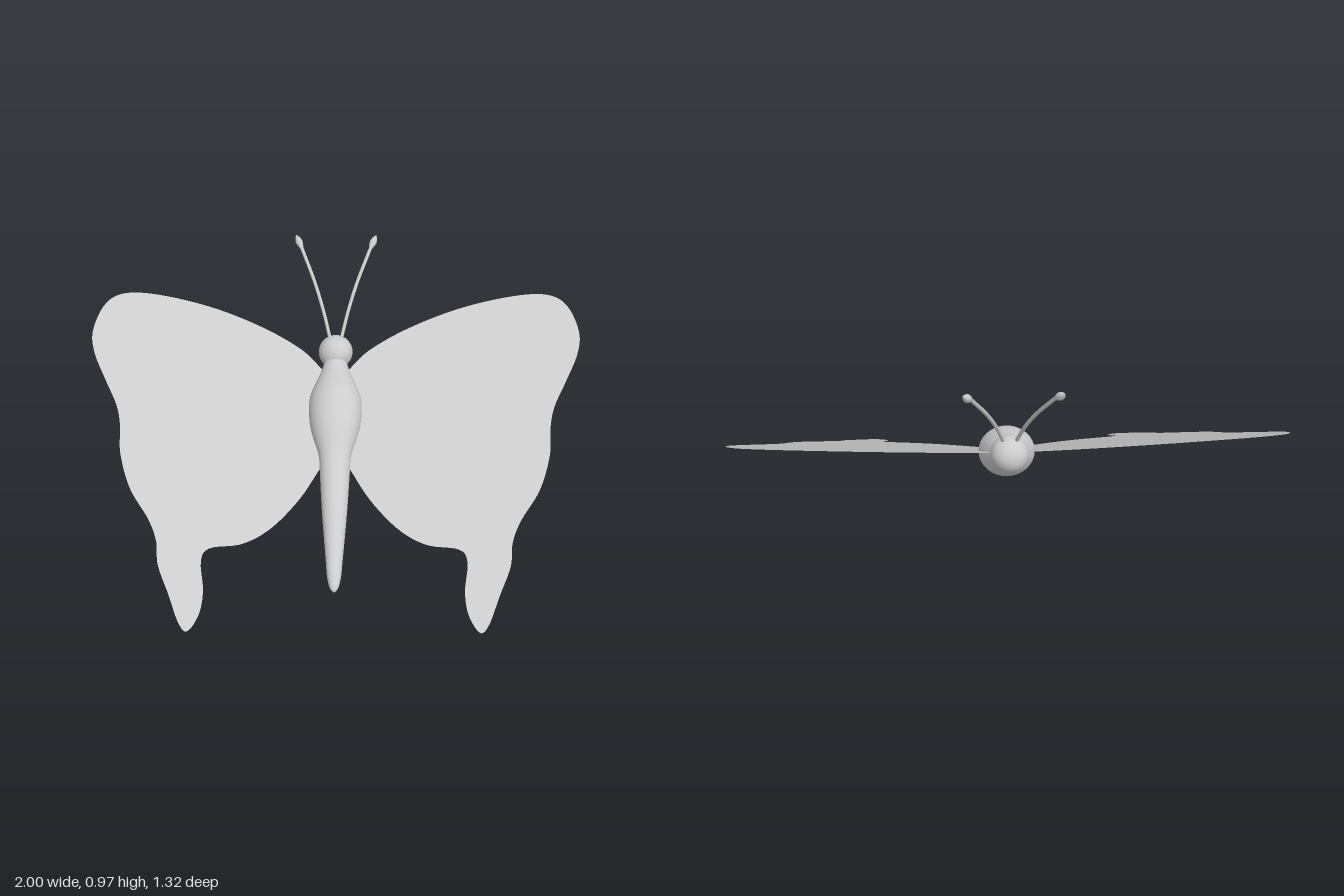
import * as THREE from 'three';

const SLOPE = 0.575; // rise of wings and body from tail to head

export function createModel() {
  const model = new THREE.Group();
  const grey = new THREE.MeshStandardMaterial({ color: 0xcccccc, side: THREE.DoubleSide });
  grey.name = 'pale grey';

  const add = (parent, name, geometry) => {
    const mesh = new THREE.Mesh(geometry, grey);
    mesh.name = name;
    parent.add(mesh);
    return mesh;
  };

  // Body: a lathe along the tilted axis, plus a round head
  const body = new THREE.Group();
  body.name = 'body';
  body.position.y = 0.35;
  body.rotation.x = Math.atan(SLOPE) - Math.PI / 2;
  model.add(body);
  const along = (z) => -z * Math.hypot(1, SLOPE);
  const profile = [
    [0, 0.505], [0.016, 0.49], [0.027, 0.45], [0.032, 0.4], [0.042, 0.3], [0.051, 0.2], [0.058, 0.1],
    [0.064, 0.02], [0.085, -0.04], [0.1, -0.09], [0.107, -0.15], [0.104, -0.2], [0.085, -0.25],
    [0.063, -0.295], [0.054, -0.32], [0.04, -0.36],
  ].map(([r, z]) => new THREE.Vector2(r, along(z)));
  const smooth = new THREE.SplineCurve(profile).getPoints(60);
  smooth.forEach((p) => { p.x = Math.max(p.x, 0); });
  add(body, 'thoraxAndAbdomen', new THREE.LatheGeometry(smooth, 32)).scale.z = 0.9;
  const head = add(body, 'head', new THREE.SphereGeometry(0.07, 32, 20));
  head.position.y = along(-0.388);

  // Wing outline as [x, z], from the front root around the tip and tail to the rear root
  const outline = [
    [0.06, -0.32], [0.14, -0.39], [0.3, -0.47], [0.51, -0.54], [0.73, -0.58], [0.88, -0.58], [0.96, -0.53],
    [1, -0.42], [0.985, -0.33], [0.93, -0.225], [0.877, -0.13], [0.855, -0.05], [0.845, 0.05],
    [0.797, 0.176], [0.717, 0.283], [0.68, 0.36], [0.668, 0.44], [0.62, 0.54], [0.578, 0.63],
    [0.543, 0.658], [0.503, 0.6], [0.492, 0.52], [0.506, 0.42], [0.475, 0.374], [0.353, 0.353],
    [0.246, 0.294], [0.14, 0.187], [0.064, 0.075],
  ];

  for (const side of [1, -1]) {
    const label = side > 0 ? 'left' : 'right';

    // Wing: a thin sheet on the tilted plane, lifted a little towards the tip
    const shape = new THREE.Shape();
    shape.moveTo(0, 0.27);
    shape.lineTo(side * outline[0][0], -outline[0][1]);
    shape.splineThru(outline.slice(1).map(([x, z]) => new THREE.Vector2(side * x, -z)));
    shape.lineTo(0, 0);
    const wing = new THREE.ShapeGeometry(shape, 5);
    const pos = wing.attributes.position;
    for (let i = 0; i < pos.count; i++) {
      const x = pos.getX(i), z = -pos.getY(i);
      pos.setXYZ(i, x, 0.348 - SLOPE * z + 0.065 * Math.abs(x), z);
    }
    wing.computeVertexNormals();
    add(model, label + 'Wing', wing);

    // Antenna: a bowed stalk ending in a pointed club
    const antenna = new THREE.Group();
    antenna.name = label + 'Antenna';
    model.add(antenna);
    const stalk = new THREE.CatmullRomCurve3([
      [0.02, 0.62, -0.39], [0.05, 0.725, -0.455], [0.086, 0.82, -0.525], [0.14, 0.93, -0.615],
    ].map(([x, y, z]) => new THREE.Vector3(side * x, y, z)));
    add(antenna, 'stalk', new THREE.TubeGeometry(stalk, 20, 0.007, 10));
    const clubProfile = [[0.006, 0], [0.012, 0.018], [0.015, 0.034], [0.01, 0.052], [0, 0.068]];
    const club = add(antenna, 'club', new THREE.LatheGeometry(clubProfile.map(([r, y]) => new THREE.Vector2(r, y)), 12));
    const end = stalk.getPoint(1);
    club.position.copy(end);
    const tip = new THREE.Vector3(side * 0.166, 0.97, -0.664);
    club.quaternion.setFromUnitVectors(new THREE.Vector3(0, 1, 0), tip.sub(end).normalize());
  }
  return model;
}
